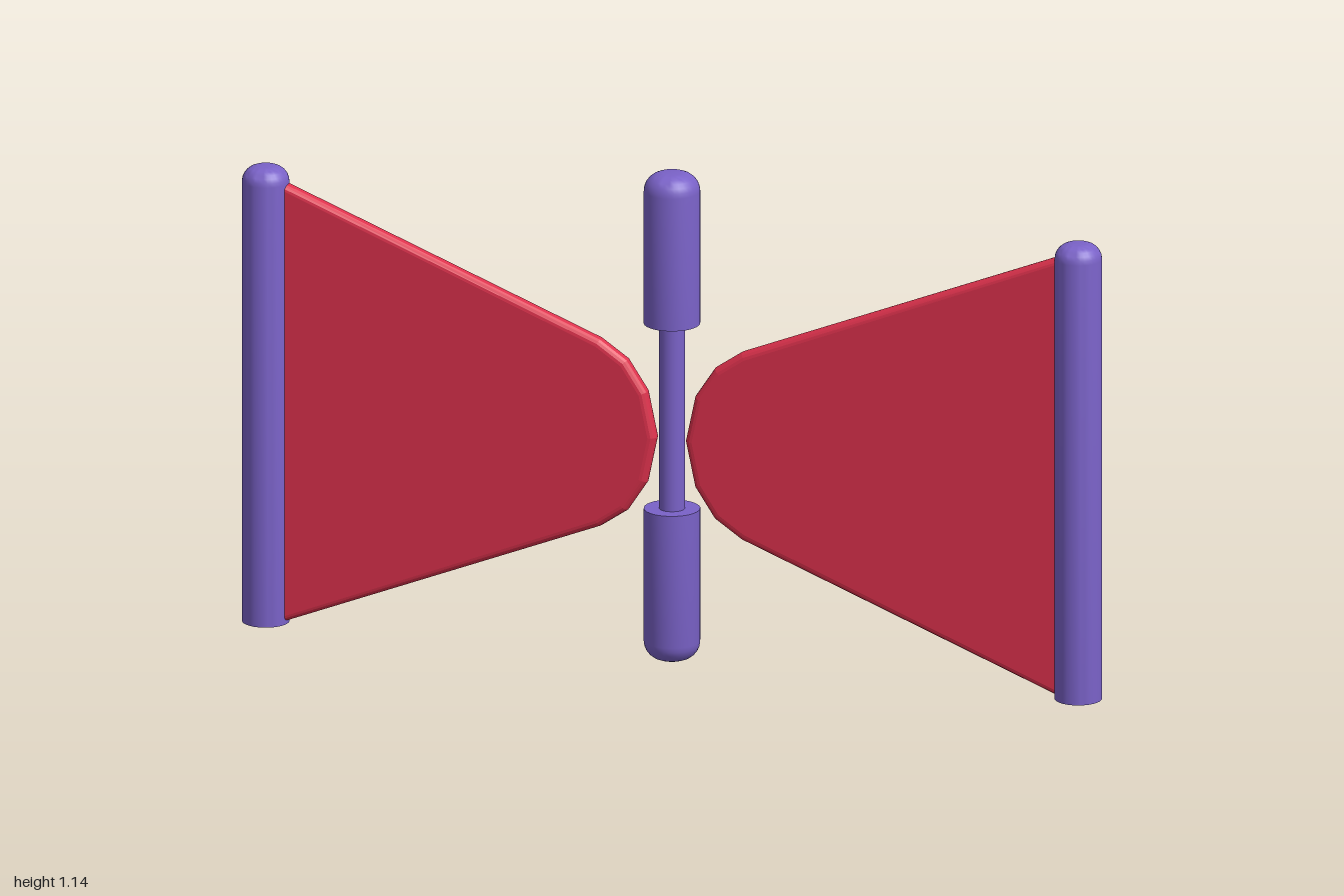
import * as THREE from 'three';
import { toCreasedNormals } from 'three/addons/utils/BufferGeometryUtils.js';

// Upright cylinder with its base at y = 0 and a rounded top rim
function roundedPost(radius, height, rim) {
  const points = [new THREE.Vector2(0, 0), new THREE.Vector2(radius, 0)];
  for (let i = 0; i <= 6; i++) {
    const a = (i / 6) * Math.PI / 2;
    points.push(new THREE.Vector2(radius - rim + rim * Math.cos(a), height - rim + rim * Math.sin(a)));
  }
  points.push(new THREE.Vector2(0, height));
  return toCreasedNormals(new THREE.LatheGeometry(points, 32), 0.6);
}

export function createModel() {
  const group = new THREE.Group();
  const purple = new THREE.MeshStandardMaterial({ name: 'purple', color: 0x7a62c8 });
  const red = new THREE.MeshStandardMaterial({ name: 'red', color: 0xdc314c });

  function add(name, geometry, material, x = 0, y = 0) {
    const mesh = new THREE.Mesh(geometry, material);
    mesh.name = name;
    mesh.position.set(x, y, 0);
    group.add(mesh);
    return mesh;
  }

  // Central spindle: thin rod between two rounded handles
  const handle = roundedPost(0.063, 0.35, 0.042);
  add('upperHandle', handle, purple, 0, 0.784);
  add('lowerHandle', handle, purple, 0, 0.353).rotation.z = Math.PI;
  add('rod', new THREE.CylinderGeometry(0.029, 0.029, 0.46, 32), purple, 0, 0.568);

  // Wing panel outline, narrow blunt end toward the rod
  const midY = 0.515;
  const half = [[0.93, 0.522], [0.165, 0.218], [0.102, 0.175], [0.056, 0.105]];
  const outline = [...half, [0.034, 0], ...half.slice().reverse().map(([x, y]) => [x, -y])];
  const shape = new THREE.Shape(outline.map(([x, y]) => new THREE.Vector2(x, y)));
  const panel = new THREE.ExtrudeGeometry(shape, {
    depth: 0.004, bevelThickness: 0.017, bevelSize: 0.017, bevelOffset: -0.017, bevelSegments: 4,
  });
  panel.translate(0, 0, -0.002);

  // Mirrored wings and outer posts
  const post = roundedPost(0.053, 1.06, 0.036);
  for (const [side, s] of [['left', 1], ['right', -1]]) {
    add(side + 'Panel', panel, red, 0, midY).rotation.y = s > 0 ? 0 : Math.PI;
    add(side + 'Post', post, purple, s * 0.947);
  }
  return group;
}
